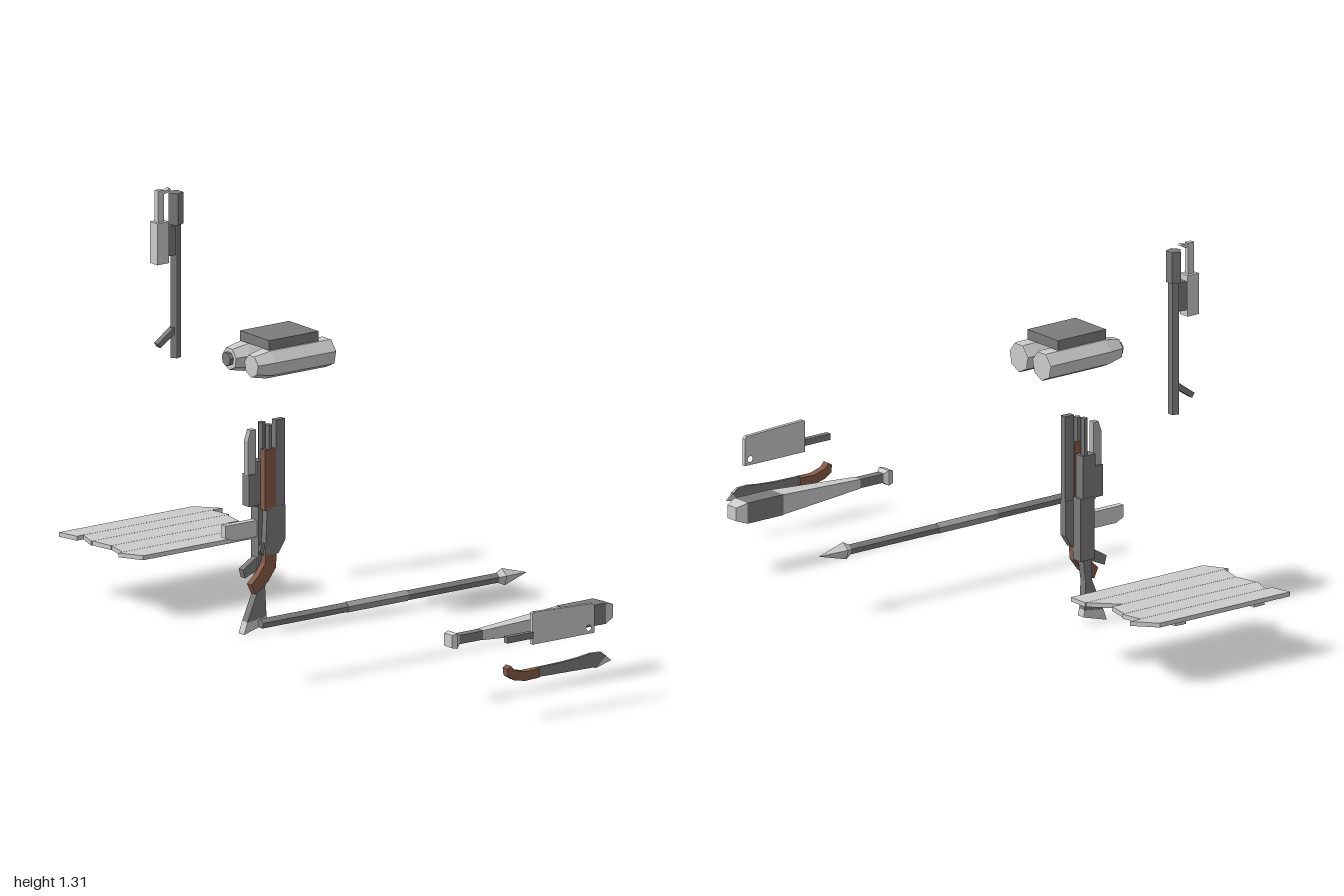
import * as THREE from 'three';

const LIGHT = 0xcccccc, DARK = 0x7b7b7b, BROWN = 0x865b47;

function add(group, name, geometry, color) {
  const material = new THREE.MeshStandardMaterial({ color, flatShading: true });
  const mesh = new THREE.Mesh(geometry, material);
  mesh.name = name;
  group.add(mesh);
  return mesh;
}

function part(root, name) {
  const g = new THREE.Group();
  g.name = name;
  root.add(g);
  return g;
}

// box given by its limits on each axis
function box(group, name, [x0, x1], [y0, y1], [z0, z1], color) {
  const geo = new THREE.BoxGeometry(x1 - x0, y1 - y0, z1 - z0);
  geo.translate((x0 + x1) / 2, (y0 + y1) / 2, (z0 + z1) / 2);
  return add(group, name, geo, color);
}

// closed faceted rod, profile of [height, radius] rising along y
function rodGeometry(profile, sides, turn = 0) {
  const pts = profile.map(([h, r]) => new THREE.Vector2(r, h));
  pts.unshift(new THREE.Vector2(0, profile[0][0]));
  pts.push(new THREE.Vector2(0, profile[profile.length - 1][0]));
  return new THREE.LatheGeometry(pts, sides, turn);
}

// side outline of [z, y] points, given thickness along x
function slab(group, name, x, width, outline, color, hole) {
  const shape = new THREE.Shape(outline.map(([z, y]) => new THREE.Vector2(-z, y)));
  if (hole) shape.holes.push(new THREE.Path().absarc(-hole[0], hole[1], hole[2], 0, Math.PI * 2, true));
  const geo = new THREE.ExtrudeGeometry(shape, { depth: width, bevelEnabled: false, curveSegments: 4 });
  geo.translate(0, 0, -width / 2).rotateY(Math.PI / 2).translate(x, 0, 0);
  return add(group, name, geo, color);
}

function buildPlanks(root) {
  const g = part(root, 'plankPanel');
  // x range, back z at both sides, front z at both sides
  const planks = [
    [-1, -0.93, -0.135, -0.195, 0.375, 0.36],
    [-0.929, -0.858, -0.155, -0.167, 0.335, 0.36],
    [-0.857, -0.779, -0.16, -0.145, 0.355, 0.342],
    [-0.778, -0.698, -0.105, -0.18, 0.34, 0.36],
    [-0.697, -0.625, -0.185, -0.182, 0.375, 0.335],
  ];
  for (const [x0, x1, b0, b1, f0, f1] of planks) {
    const shape = new THREE.Shape([[x0, -f0], [x1, -f1], [x1, -b1], [x0, -b0]].map(p => new THREE.Vector2(...p)));
    const geo = new THREE.ExtrudeGeometry(shape, { depth: 0.014, bevelEnabled: false });
    geo.rotateX(-Math.PI / 2).translate(0, 0.2, 0);
    add(g, 'plank', geo, LIGHT);
  }
  for (const z of [-0.045, 0.262]) box(g, 'batten', [-0.99, -0.69], [0.188, 0.2], [z - 0.021, z + 0.021], LIGHT);
}

function buildTubeTool(root) {
  const g = part(root, 'uprightTubeTool');
  const x = -0.76, z = 0.112;
  add(g, 'tube', rodGeometry([[0.778, 0.018], [1.22, 0.018]], 5).translate(x, 0, z), DARK);
  add(g, 'muzzle', rodGeometry([[1.2, 0.025], [1.3, 0.025]], 5).translate(x, 0, z), DARK);
  box(g, 'bracket', [-0.773, -0.747], [1.105, 1.197], [0.115, 0.152], DARK);
  box(g, 'sideBox', [-0.779, -0.741], [1.085, 1.216], [0.15, 0.194], LIGHT);
  box(g, 'thinBar', [-0.768, -0.752], [1.21, 1.316], [0.161, 0.184], LIGHT);
  slab(g, 'hook', x, 0.014, [[0.165, 1.303], [0.15, 1.303], [0.134, 1.311], [0.138, 1.318], [0.152, 1.312], [0.165, 1.312]], LIGHT);
  slab(g, 'lowerLever', x, 0.02, [[0.115, 0.882], [0.185, 0.832], [0.175, 0.818], [0.115, 0.858]], DARK);
}

function buildBinoculars(root) {
  const g = part(root, 'binoculars');
  for (const x of [-0.366, -0.254]) {
    const barrel = rodGeometry([[-0.09, 0.046], [-0.086, 0.048], [0.143, 0.048], [0.2, 0.036]], 7);
    add(g, 'barrel', barrel.rotateX(Math.PI / 2).translate(x, 0.872, 0), LIGHT);
  }
  const eye = rodGeometry([[0.19, 0.022], [0.213, 0.022]], 7);
  add(g, 'eyepiece', eye.rotateX(Math.PI / 2).translate(-0.366, 0.872, 0), DARK);
  box(g, 'bridge', [-0.385, -0.235], [0.917, 0.948], [-0.042, 0.146], DARK);
}

function buildRifle(root) {
  const g = part(root, 'uprightRifle');
  const x = -0.337;
  add(g, 'barrel', rodGeometry([[0.3, 0.012], [0.662, 0.012]], 6).translate(x, 0, 0.098), DARK);
  box(g, 'handguard', [-0.354, -0.32], [0.4, 0.545], [0.08, 0.13], DARK);
  box(g, 'receiver', [-0.356, -0.318], [0.21, 0.41], [0.07, 0.125], DARK);
  box(g, 'lowerGuard', [-0.354, -0.32], [0.405, 0.505], [0.12, 0.159], DARK);
  slab(g, 'underBarrel', x, 0.02, [[0.128, 0.505], [0.159, 0.505], [0.159, 0.61], [0.147, 0.644], [0.128, 0.644]], 0xb0b0b0);
  slab(g, 'magazine', x, 0.022, [[0.11, 0.357], [0.244, 0.357], [0.244, 0.318], [0.215, 0.305], [0.11, 0.305]], LIGHT);
  slab(g, 'pistolGrip', x, 0.022, [[0.1, 0.245], [0.125, 0.24], [0.178, 0.208], [0.17, 0.18], [0.1, 0.21]], DARK);
  slab(g, 'stock', x, 0.026, [[0.08, 0.25], [0.118, 0.25], [0.12, 0.14], [0.163, 0.04], [0.09, 0.05], [0.095, 0.14]], DARK);
  slab(g, 'buttPlate', x, 0.028, [[0.163, 0.04], [0.176, 0.003], [0.086, 0.028], [0.09, 0.05]], LIGHT);
}

function buildShotgun(root) {
  const g = part(root, 'uprightShotgun');
  const x = -0.308;
  box(g, 'barrel', [-0.318, -0.298], [0.3, 0.672], [0.039, 0.074], DARK);
  add(g, 'magazineTube', rodGeometry([[0.3, 0.011], [0.66, 0.011]], 6).translate(x, 0, 0.094), DARK);
  box(g, 'pump', [-0.319, -0.296], [0.392, 0.583], [0.075, 0.117], BROWN);
  slab(g, 'receiver', x, 0.024, [[0.039, 0.4], [0.039, 0.29], [0.065, 0.25], [0.115, 0.25], [0.108, 0.4]], DARK);
  slab(g, 'grip', x, 0.023, [[0.07, 0.265], [0.112, 0.265], [0.115, 0.225], [0.14, 0.19], [0.168, 0.165], [0.152, 0.132],
    [0.105, 0.165], [0.075, 0.205]], BROWN);
  slab(g, 'triggerGuard', x, 0.01, [[0.105, 0.29], [0.125, 0.285], [0.13, 0.265], [0.12, 0.25], [0.105, 0.25]], DARK);
}

function buildSpear(root) {
  const g = part(root, 'spear');
  const along = (name, profile, color) =>
    add(g, name, rodGeometry(profile, 5).rotateX(-Math.PI / 2).translate(0.2, 0.204, 0), color);
  along('rearShaft', [[-0.505, 0.016], [-0.18, 0.016]], DARK);
  along('wrap', [[-0.18, 0.0175], [0.05, 0.0175]], 0x999999);
  along('frontShaft', [[0.05, 0.016], [0.4, 0.016]], DARK);
  along('spearHead', [[0.395, 0.017], [0.415, 0.028], [0.507, 0.001]], LIGHT);
}

function buildBat(root) {
  const g = part(root, 'bat');
  const along = (name, profile, color) => {
    const p = profile.map(([h, r]) => [h, r * Math.SQRT2]);
    add(g, name, rodGeometry(p, 4, Math.PI / 4).rotateX(-Math.PI / 2).translate(0.706, 0.206, 0), color);
  };
  along('knob', [[-0.168, 0.02], [-0.15, 0.024], [-0.136, 0.015]], LIGHT);
  along('handle', [[-0.14, 0.014], [-0.045, 0.014]], DARK);
  along('taper', [[-0.045, 0.015], [0.27, 0.032]], LIGHT);
  along('headWrap', [[0.27, 0.033], [0.41, 0.033]], DARK);
  along('tip', [[0.41, 0.033], [0.445, 0.021]], LIGHT);
}

function buildBlades(root) {
  const cleaver = part(root, 'cleaver');
  slab(cleaver, 'blade', 0.983, 0.012, [[0.058, 0.334], [0.052, 0.338], [-0.17, 0.33], [-0.178, 0.322], [-0.178, 0.236],
    [0.058, 0.236]], LIGHT, [-0.157, 0.255, 0.01]);
  box(cleaver, 'handle', [0.974, 0.992], [0.256, 0.276], [0.055, 0.155], DARK);

  const knife = part(root, 'knife');
  slab(knife, 'blade', 0.983, 0.01, [[0.038, 0.16], [-0.06, 0.162], [-0.12, 0.166], [-0.17, 0.172], [-0.205, 0.168],
    [-0.225, 0.156], [-0.19, 0.126], [0.038, 0.13]], DARK);
  slab(knife, 'edge', 0.983, 0.007, [[-0.165, 0.172], [-0.205, 0.171], [-0.245, 0.138], [-0.185, 0.122], [-0.18, 0.13]], LIGHT);
  slab(knife, 'handle', 0.983, 0.024, [[0.035, 0.158], [0.09, 0.157], [0.13, 0.168], [0.145, 0.184], [0.158, 0.176],
    [0.155, 0.152], [0.13, 0.136], [0.09, 0.128], [0.035, 0.13]], BROWN);
}

export function createModel() {
  const root = new THREE.Group();
  root.name = 'propSet';
  for (const build of [buildPlanks, buildTubeTool, buildBinoculars, buildRifle, buildShotgun, buildSpear, buildBat, buildBlades]) build(root);
  return root;
}
